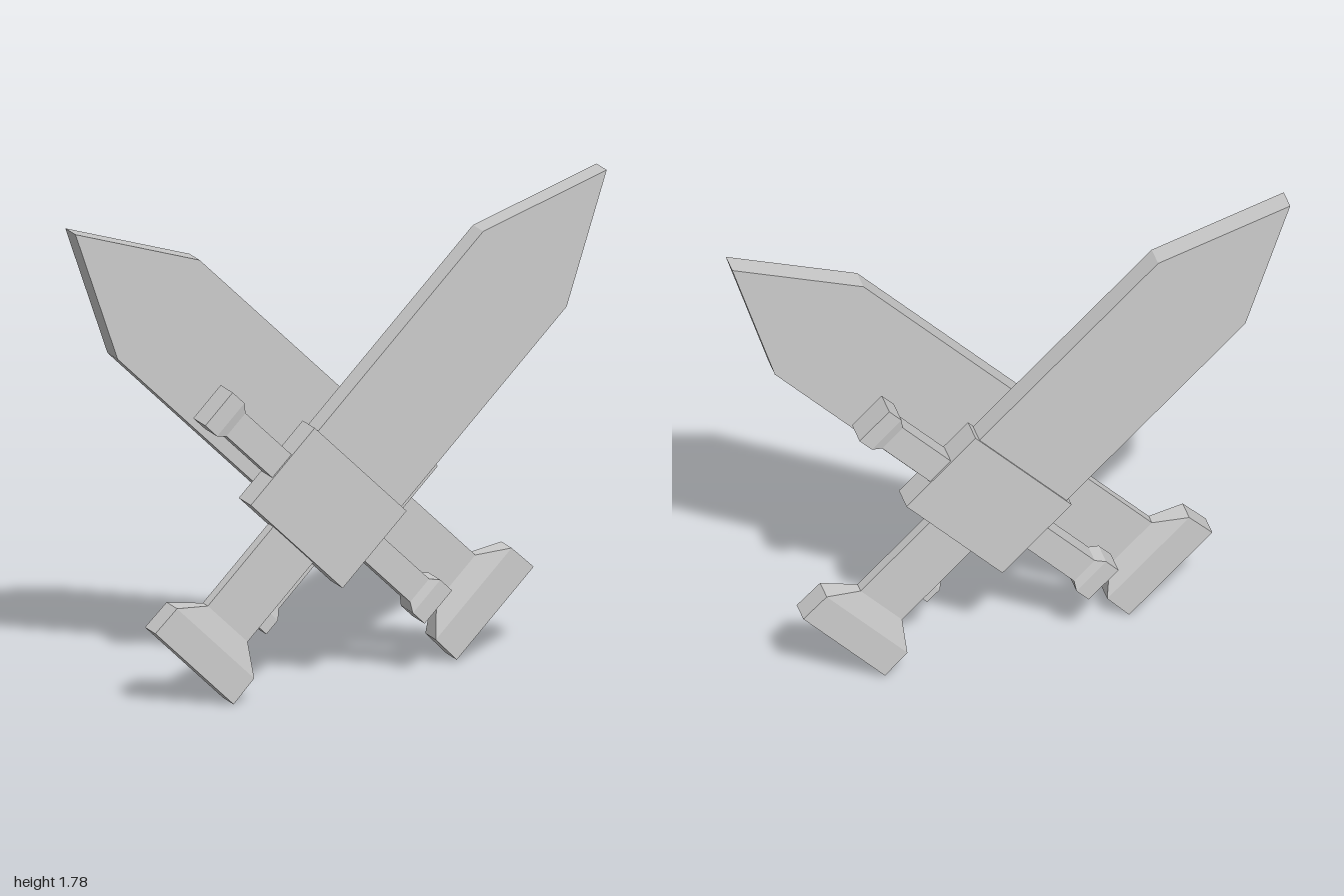
import * as THREE from 'three';

const material = new THREE.MeshStandardMaterial({ color: 0xcccccc, flatShading: true });

function part(name, geometry) {
  const mesh = new THREE.Mesh(geometry, material);
  mesh.name = name;
  return mesh;
}

// Solid of rectangular sections stacked upwards: [y, half width, half depth]
function stack(sections) {
  const positions = [];
  const index = [];
  for (const [y, w, d] of sections) positions.push(-w, y, d, w, y, d, w, y, -d, -w, y, -d);
  for (let s = 0; s < sections.length - 1; s++) {
    for (let i = 0; i < 4; i++) {
      const a = s * 4 + i, b = s * 4 + (i + 1) % 4;
      index.push(a, b, b + 4, a, b + 4, a + 4);
    }
  }
  const t = (sections.length - 1) * 4;
  index.push(0, 2, 1, 0, 3, 2, t, t + 1, t + 2, t, t + 2, t + 3);
  const indexed = new THREE.BufferGeometry();
  indexed.setAttribute('position', new THREE.Float32BufferAttribute(positions, 3));
  indexed.setIndex(index);
  const geometry = indexed.toNonIndexed();
  geometry.computeVertexNormals();
  return geometry;
}

// Upright sword with the centre of its guard at the origin
function makeSword(name) {
  const sword = new THREE.Group();
  sword.name = name;

  // Flat slab blade with a pointed end
  const outline = new THREE.Shape([
    new THREE.Vector2(-0.227, 0.1),
    new THREE.Vector2(0.227, 0.1),
    new THREE.Vector2(0.227, 1.092),
    new THREE.Vector2(0, 1.545),
    new THREE.Vector2(-0.227, 1.092),
  ]);
  const blade = new THREE.ExtrudeGeometry(outline, { depth: 0.085, bevelEnabled: false });
  blade.translate(0, 0, -0.0425);
  sword.add(part('blade', blade));

  // Guard block and its two arms with flared ends
  sword.add(part('guardBlock', new THREE.BoxGeometry(0.5, 0.354, 0.1)));
  for (const side of [-1, 1]) {
    const arm = part(side < 0 ? 'guardArmRight' : 'guardArmLeft', stack([
      [0.2, 0.053, 0.0425],
      [0.5, 0.053, 0.0425],
      [0.533, 0.076, 0.05],
      [0.597, 0.076, 0.05],
    ]));
    arm.rotation.z = -side * Math.PI / 2;
    sword.add(arm);
  }

  // Thin grip flaring into the pommel
  sword.add(part('gripAndPommel', stack([
    [-0.739, 0.213, 0.0435],
    [-0.622, 0.21, 0.0435],
    [-0.54, 0.108, 0.021],
    [-0.1, 0.108, 0.021],
  ])));
  return sword;
}

export function createModel() {
  const model = new THREE.Group();
  model.name = 'crossedSwords';

  // Two equal swords, a quarter turn apart, one behind the other
  const front = makeSword('frontSword');
  front.position.set(-0.084, 0.678, 0.066);
  front.rotation.z = THREE.MathUtils.degToRad(-44.5);

  const back = makeSword('backSword');
  back.position.set(0.1, 0.68, -0.066);
  back.rotation.z = THREE.MathUtils.degToRad(45.5);

  model.add(front, back);
  return model;
}
